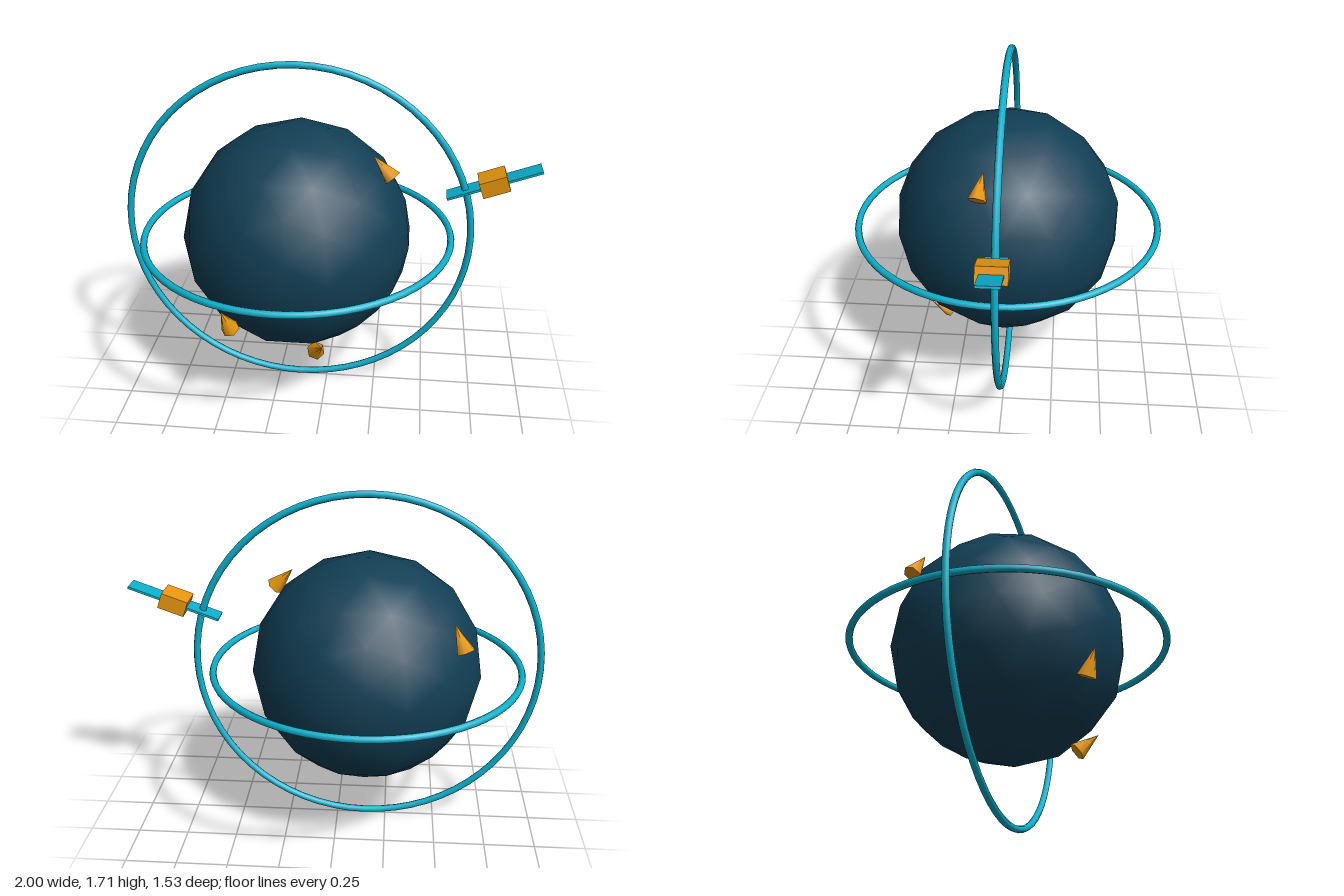
import * as THREE from 'three';

export function createModel() {
  const model = new THREE.Group();
  model.name = 'orbitingGlobe';

  const navy = new THREE.MeshStandardMaterial({ color: 0x123f55 });
  navy.name = 'deep navy';
  const cyan = new THREE.MeshStandardMaterial({ color: 0x0cb0cc });
  cyan.name = 'cyan';
  const amber = new THREE.MeshStandardMaterial({ color: 0xe8980f });
  amber.name = 'amber';

  const centre = new THREE.Vector3(-0.143, 0.86, 0);
  const radius = 0.557;

  function add(parent, name, geometry, material, position) {
    const mesh = new THREE.Mesh(geometry, material);
    mesh.name = name;
    if (position) mesh.position.copy(position);
    parent.add(mesh);
    return mesh;
  }

  // Globe: coarse icosphere with smooth normals
  add(model, 'globe', new THREE.IcosahedronGeometry(radius, 2), navy, centre);

  // Two orbit rings, one upright and one level
  add(model, 'uprightRing', new THREE.TorusGeometry(0.84, 0.0168, 8, 64), cyan, centre);
  const level = add(model, 'levelRing', new THREE.TorusGeometry(0.747, 0.0168, 8, 64), cyan, centre);
  level.rotation.x = Math.PI / 2;

  // Cone markers lying on the globe, tips pointing up along its surface
  const coneGeometry = new THREE.ConeGeometry(0.045, 0.134, 6);
  const directions = [
    [0.41, 0.403, 0.095],
    [-0.28, -0.245, 0.45],
    [0.139, -0.455, 0.34],
    [-0.425, 0.275, -0.3],
  ];
  directions.forEach((d, i) => {
    const position = new THREE.Vector3(...d).setLength(radius * 1.05).add(centre);
    const cone = add(model, `coneMarker${i + 1}`, coneGeometry, amber, position);
    cone.lookAt(centre);
  });

  // Satellite: box body with a panel on each side
  const satellite = new THREE.Group();
  satellite.name = 'satellite';
  satellite.position.set(0.783, 1.169, 0);
  satellite.rotation.z = THREE.MathUtils.degToRad(20);
  add(satellite, 'satelliteBody', new THREE.BoxGeometry(0.13, 0.076, 0.134), amber);
  for (const side of [-1, 1]) {
    add(satellite, side > 0 ? 'outerPanel' : 'innerPanel',
      new THREE.BoxGeometry(0.168, 0.011, 0.1), cyan, new THREE.Vector3(side * 0.143, 0, 0));
  }
  model.add(satellite);

  return model;
}
